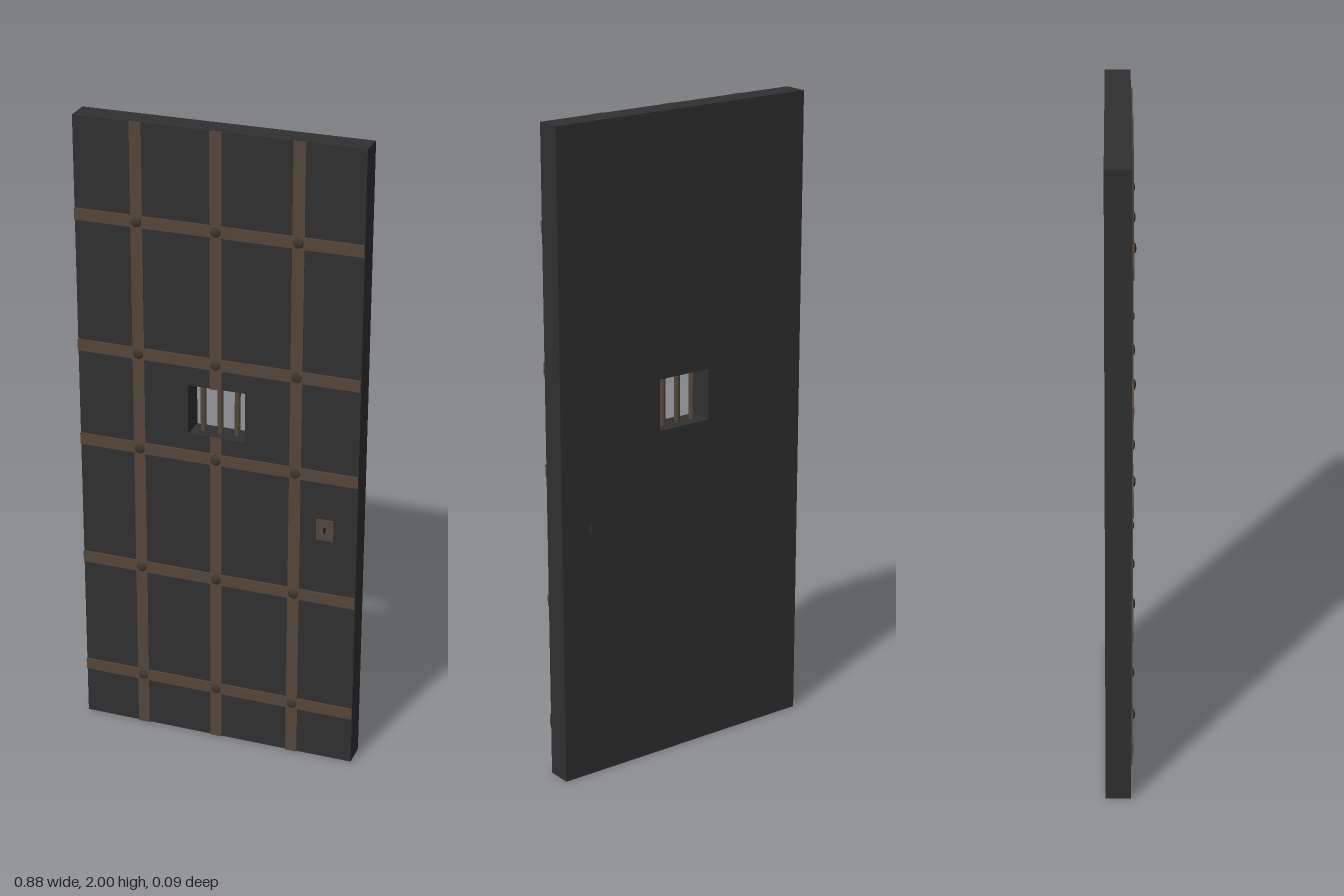
import * as THREE from 'three';

export function createModel() {
  const door = new THREE.Group();
  door.name = 'door';
  const darkPanel = new THREE.MeshStandardMaterial({ color: 0x303030 });
  darkPanel.name = 'dark panel';
  const brownIron = new THREE.MeshStandardMaterial({ color: 0x54463a });
  brownIron.name = 'brown iron';
  const rivetIron = new THREE.MeshStandardMaterial({ color: 0x40362d });
  rivetIron.name = 'rivet iron';

  const BACK = -0.046, FRONT = 0.031;
  const win = { x0: -0.092, x1: 0.088, y0: 1.045, y1: 1.204 };

  const add = (name, geometry, material, x = 0, y = 0, z = 0) => {
    const mesh = new THREE.Mesh(geometry, material);
    mesh.name = name;
    mesh.position.set(x, y, z);
    door.add(mesh);
    return mesh;
  };

  const trace = (path, x0, y0, x1, y1) => {
    path.moveTo(x0, y0);
    path.lineTo(x1, y0);
    path.lineTo(x1, y1);
    path.lineTo(x0, y1);
    path.closePath();
    return path;
  };

  // Keyhole: round top with a slot below
  const keyhole = () => {
    const hole = new THREE.Path();
    hole.moveTo(0.338, 0.782);
    hole.lineTo(0.346, 0.782);
    hole.lineTo(0.346, 0.8);
    hole.absarc(0.342, 0.803, 0.005, -0.64, Math.PI + 0.64, false);
    hole.lineTo(0.338, 0.782);
    return hole;
  };

  const slab = (shape, depth) =>
    new THREE.ExtrudeGeometry(shape, { depth, bevelEnabled: false, curveSegments: 8 });

  // Door panel with window and keyhole cut through
  const panel = trace(new THREE.Shape(), -0.442, 0, 0.442, 2);
  panel.holes.push(trace(new THREE.Path(), win.x0, win.y0, win.x1, win.y1), keyhole());
  add('panel', slab(panel, FRONT - BACK), darkPanel, 0, 0, BACK);

  // Lock plate
  const plate = trace(new THREE.Shape(), 0.316, 0.764, 0.37, 0.832);
  plate.holes.push(keyhole());
  add('lockPlate', slab(plate, 0.005), brownIron, 0, 0, FRONT);

  // Iron straps; the middle upright is interrupted by the window
  const columns = [-0.247, -0.003, 0.247];
  const rows = [0.175, 0.565, 0.973, 1.284, 1.7];
  const upright = (x, y0, y1) =>
    add('verticalStrap', new THREE.BoxGeometry(0.037, y1 - y0, 0.005), brownIron, x, (y0 + y1) / 2, FRONT + 0.0025);
  upright(columns[0], 0, 2);
  upright(columns[1], 0, win.y0);
  upright(columns[1], win.y1, 2);
  upright(columns[2], 0, 2);
  for (const y of rows) {
    add('horizontalStrap', new THREE.BoxGeometry(0.884, 0.036, 0.006), brownIron, 0, y, FRONT + 0.003);
  }

  // Domed rivets at every crossing
  const dome = new THREE.SphereGeometry(0.016, 16, 6, 0, Math.PI * 2, 0, Math.PI / 2);
  dome.rotateX(Math.PI / 2);
  dome.scale(1, 1, 0.4);
  for (const x of columns) {
    for (const y of rows) add('rivet', dome, rivetIron, x, y, FRONT + 0.006);
  }

  // Window bars
  const bar = new THREE.CylinderGeometry(0.009, 0.009, win.y1 - win.y0 + 0.01, 12);
  for (const x of [-0.057, -0.003, 0.051]) {
    add('windowBar', bar, brownIron, x, (win.y0 + win.y1) / 2, (BACK + FRONT) / 2);
  }

  return door;
}
